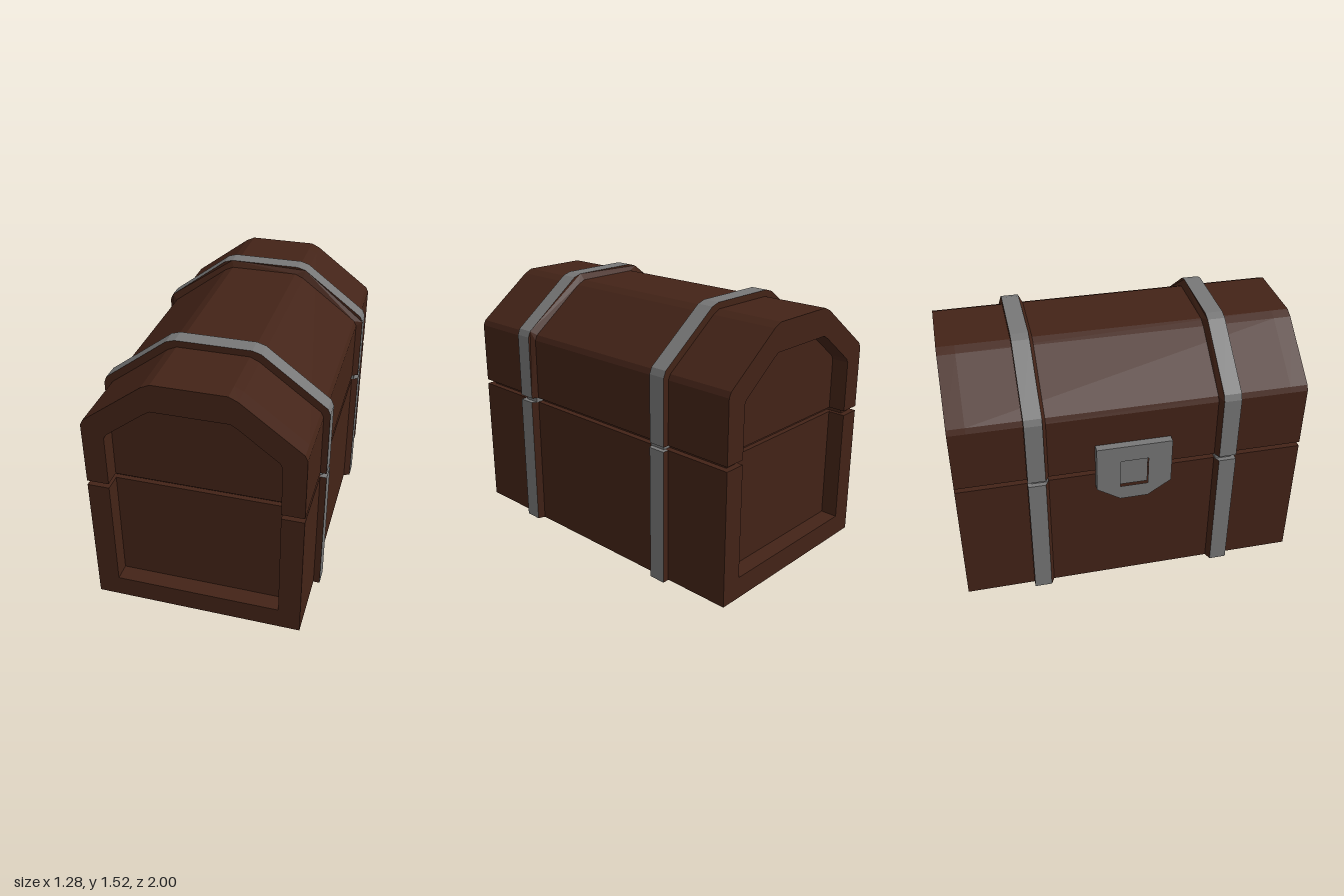
import * as THREE from 'three';

const wood = new THREE.MeshStandardMaterial({ color: 0x432317, flatShading: true });
const iron = new THREE.MeshStandardMaterial({ color: 0x777777, flatShading: true });

// Right-hand half outlines (x, y), from the lid/base seam to the middle
const SEAM_LOW = 0.79, SEAM_HIGH = 0.817;
const lidBody = [[0.6, SEAM_HIGH], [0.6, 1.18], [0.585, 1.21], [0.25, 1.46], [0.2, 1.483]];
const lidBand = [[0.635, SEAM_HIGH], [0.635, 1.2], [0.62, 1.235], [0.26, 1.505], [0.21, 1.52]];
const lidPanel = [[0.475, SEAM_HIGH], [0.475, 1.115], [0.46, 1.14], [0.25, 1.3], [0.21, 1.325]];
const baseBody = [[0.6, SEAM_LOW], [0.6, 0.004]];
const baseBand = [[0.637, SEAM_LOW], [0.637, 0]];
const basePanel = [[0.475, SEAM_LOW], [0.475, 0.13]];

const mirrored = (half) => [...half, ...half.map(([x, y]) => [-x, y]).reverse()];
const shapeOf = (pts) => new THREE.Shape(pts.map(([x, y]) => new THREE.Vector2(x, y)));
const extrude = (shape, depth) =>
  new THREE.ExtrudeGeometry(shape, { depth, bevelEnabled: false });

// U-shaped strip between two half outlines, open at the seam
const strip = (outer, inner) => shapeOf([...mirrored(outer), ...mirrored(inner).reverse()]);

// Iron band whose inward-facing side slopes out to meet the wood
function bandGeometry(outer, inner) {
  const geo = extrude(strip(outer, inner), 0.1);
  const foot = mirrored(inner);
  const p = geo.attributes.position;
  for (let i = 0; i < p.count; i++) {
    const atFoot = foot.some(([x, y]) => Math.hypot(p.getX(i) - x, p.getY(i) - y) < 1e-4);
    if (p.getZ(i) < 0.01 && atFoot) p.setZ(i, -0.02);
  }
  geo.translate(0, 0, 0.5);
  geo.computeVertexNormals();
  return geo;
}

export function createModel() {
  const chest = new THREE.Group();
  chest.name = 'chest';

  const add = (parent, name, geo, material) => {
    const mesh = new THREE.Mesh(geo, material);
    mesh.name = name;
    parent.add(mesh);
    return mesh;
  };
  const box = (parent, name, size, pos, material) => {
    const mesh = add(parent, name, new THREE.BoxGeometry(...size), material);
    mesh.position.set(...pos);
    return mesh;
  };

  // Base and lid: a solid middle, a raised frame at each end and two bands
  const halves = [
    ['base', baseBody, basePanel, baseBand],
    ['lid', lidBody, lidPanel, lidBand],
  ];
  for (const [name, body, panel, band] of halves) {
    const part = new THREE.Group();
    part.name = name;
    chest.add(part);

    add(part, name + 'Body', extrude(shapeOf(mirrored(body)), 1.8).translate(0, 0, -0.9), wood);
    const frameGeo = extrude(strip(body, panel), 0.1).translate(0, 0, 0.9);
    const bandGeo = bandGeometry(band, body);
    for (const [end, turn] of [['front', 0], ['back', Math.PI]]) {
      add(part, `${end}${name}Frame`, frameGeo, wood).rotation.y = turn;
      add(part, `${end}${name}Band`, bandGeo, [wood, iron]).rotation.y = turn;
    }
  }

  // Recessed core showing in the seam
  const seam = new THREE.Group();
  seam.name = 'seam';
  chest.add(seam);
  const y = (SEAM_LOW + SEAM_HIGH) / 2;
  box(seam, 'seamCore', [1.13, 0.06, 1.74], [0, y, 0], wood);
  for (const sz of [-1, 1]) {
    for (const sx of [-1, 1]) {
      box(seam, 'seamCorner', [0.065, 0.06, 0.1], [sx * 0.5325, y, sz * 0.915], wood);
      box(seam, 'seamBandLink', [0.05, SEAM_HIGH - SEAM_LOW, 0.095], [sx * 0.585, y, sz * 0.53], iron);
    }
  }

  // Lock plate on the -x side, with a sunken keyhole panel
  const lock = new THREE.Group();
  lock.name = 'lock';
  lock.position.x = -0.6;
  lock.rotation.y = -Math.PI / 2;
  chest.add(lock);
  const plate = shapeOf(mirrored([[0.215, 0.99], [0.215, 0.71], [0.08, 0.62]]));
  const hole = mirrored([[0.08, 0.89], [0.08, 0.71]]);
  plate.holes.push(new THREE.Path(hole.map(([x, py]) => new THREE.Vector2(x, py))));
  add(lock, 'lockPlate', extrude(plate, 0.045), iron);
  box(lock, 'keyholePanel', [0.16, 0.18, 0.025], [0, 0.8, 0.0125], iron);

  return chest;
}
